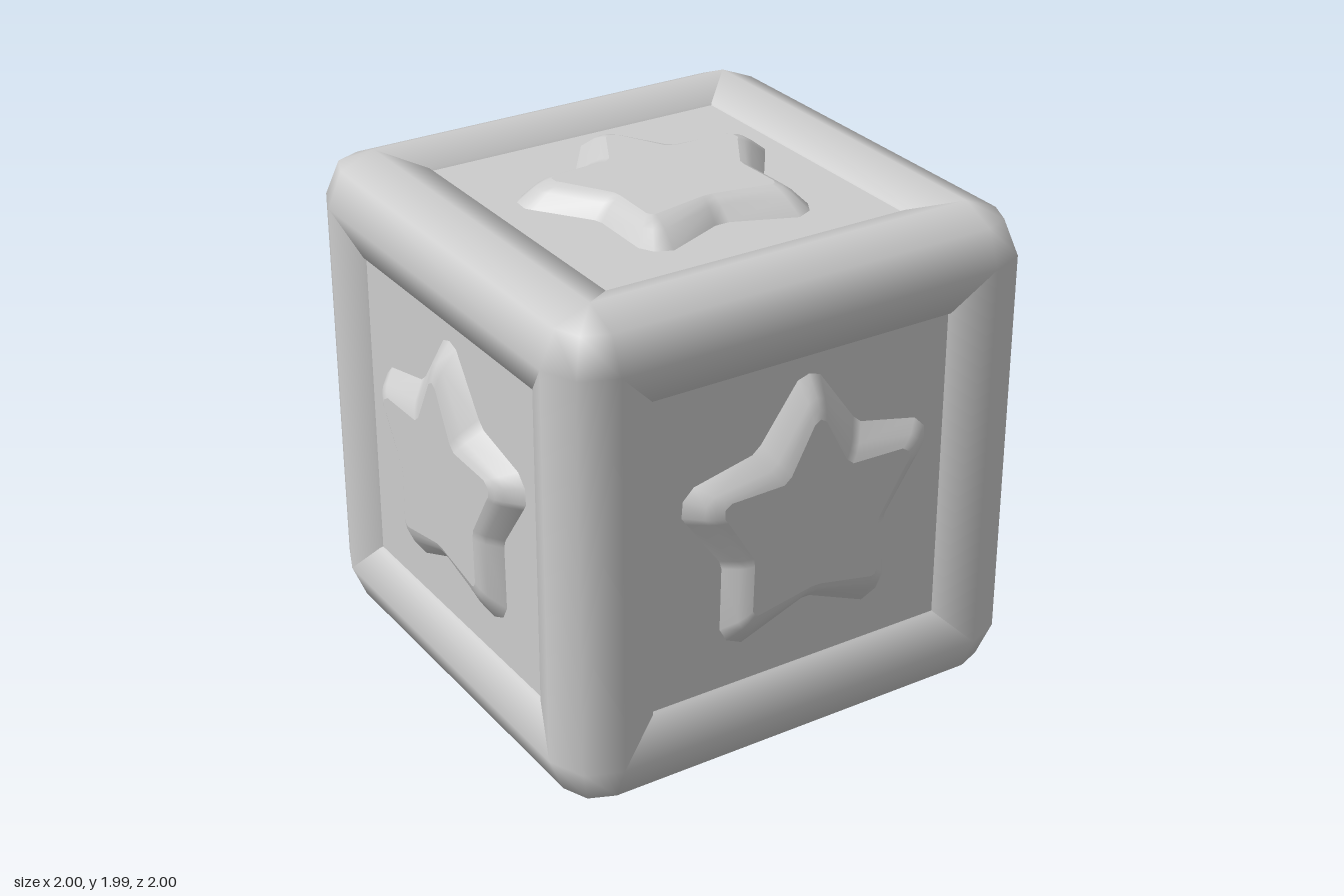
import * as THREE from 'three';

const MID = 0.79;     // beam axis distance from the centre
const R = 0.198;      // beam radius
const PANEL = 0.92;   // panel distance from the centre
const TOP = 1.0;      // star cap distance from the centre

// Right half of the star: base x, y, then cap x, y, from the tip to the lower notch
const HALF = [
  [0, 0.557, 0, 0.41], [0.048, 0.542, 0.025, 0.395], [0.2, 0.33, 0.12, 0.215],
  [0.235, 0.3, 0.15, 0.19], [0.48, 0.245, 0.37, 0.185], [0.525, 0.2, 0.4, 0.165],
  [0.53, 0.135, 0.4, 0.13], [0.51, 0.105, 0.385, 0.11], [0.37, -0.09, 0.275, -0.07],
  [0.36, -0.125, 0.27, -0.105], [0.365, -0.38, 0.275, -0.29], [0.335, -0.435, 0.265, -0.31],
  [0.27, -0.465, 0.25, -0.315], [0.03, -0.365, 0.02, -0.27],
];

// Full outline, counter-clockwise seen from outside
function starOutline() {
  const left = HALF.map(([a, b, c, d]) => [-a, b, -c, d]);
  return [...left, ...HALF.slice(1).reverse()];
}

// Bevelled flank lofted through rings from base to cap
function starFlank(outline) {
  const rings = [[0, PANEL - 0.01], [0, PANEL], [0.5, 0.972], [0.76, 0.99], [1, TOP]];
  const n = outline.length, pos = [], idx = [];
  for (const [t, z] of rings)
    for (const [bx, by, cx, cy] of outline)
      pos.push(bx + (cx - bx) * t, by + (cy - by) * t, z);
  for (let r = 0; r < rings.length - 1; r++)
    for (let i = 0; i < n; i++) {
      const j = (i + 1) % n;
      const a = r * n + i, b = r * n + j, c = a + n, d = b + n;
      idx.push(a, b, d, a, d, c);
    }
  const g = new THREE.BufferGeometry();
  g.setAttribute('position', new THREE.Float32BufferAttribute(pos, 3));
  g.setIndex(idx);
  g.computeVertexNormals();
  return g;
}

// Eight-sided beam along y, its inward half slightly wider
function beamGeometry() {
  const g = new THREE.CylinderGeometry(R, R, MID * 2, 8, 1, true);
  const p = g.attributes.position;
  for (let i = 0; i < p.count; i++) {
    const x = p.getX(i), z = p.getZ(i);
    p.setX(i, x < 0 ? x * 1.11 : x);
    p.setZ(i, z < 0 ? z * 1.11 : z);
  }
  return g;
}

export function createModel() {
  const model = new THREE.Group();
  model.name = 'starBlock';
  const grey = new THREE.MeshStandardMaterial({ color: 0xcccccc });
  grey.name = 'grey';

  const add = (parent, name, geometry) => {
    const mesh = new THREE.Mesh(geometry, grey);
    mesh.name = name;
    parent.add(mesh);
    return mesh;
  };

  // Frame beams: four along each axis, outward side turned to each corner
  const beam = beamGeometry();
  const axisTurns = [[0, 0, 0], [Math.PI / 2, 0, 0], [0, 0, Math.PI / 2]];
  const frame = new THREE.Group();
  frame.name = 'frame';
  for (const turn of axisTurns) {
    const set = new THREE.Group();
    set.name = 'beamSet';
    set.rotation.set(...turn);
    for (let k = 0; k < 4; k++) {
      const pivot = new THREE.Group();
      pivot.name = 'beamPivot';
      pivot.rotation.y = k * Math.PI / 2;
      add(pivot, 'beam', beam).position.set(MID, 0, MID);
      set.add(pivot);
    }
    frame.add(set);
  }

  // Rounded corners
  const ball = new THREE.SphereGeometry(R, 8, 4);
  for (const x of [-MID, MID])
    for (const y of [-MID, MID])
      for (const z of [-MID, MID]) add(frame, 'corner', ball).position.set(x, y, z);
  model.add(frame);

  // Six recessed panels, raised stars on all but the bottom
  const outline = starOutline();
  const flank = starFlank(outline);
  const cap = new THREE.ShapeGeometry(
    new THREE.Shape(outline.map(([, , x, y]) => new THREE.Vector2(x, y))));
  const panel = new THREE.BoxGeometry(1.4, 1.4, 0.1);
  const q = Math.PI / 2;
  const faces = [
    ['front', 0, 0], ['left', 0, q], ['back', 0, 2 * q], ['right', 0, -q],
    ['top', -q, 0], ['bottom', q, 0],
  ];
  for (const [name, rx, ry] of faces) {
    const face = new THREE.Group();
    face.name = name + 'Face';
    face.rotation.set(rx, ry, 0);
    add(face, name + 'Panel', panel).position.z = PANEL - 0.05;
    if (name !== 'bottom') {
      add(face, name + 'StarBevel', flank).position.x = 0.02;
      add(face, name + 'StarCap', cap).position.set(0.02, 0, TOP);
    }
    model.add(face);
  }

  // Stand the block on the ground
  for (const part of model.children) part.position.y = MID + R;
  return model;
}
